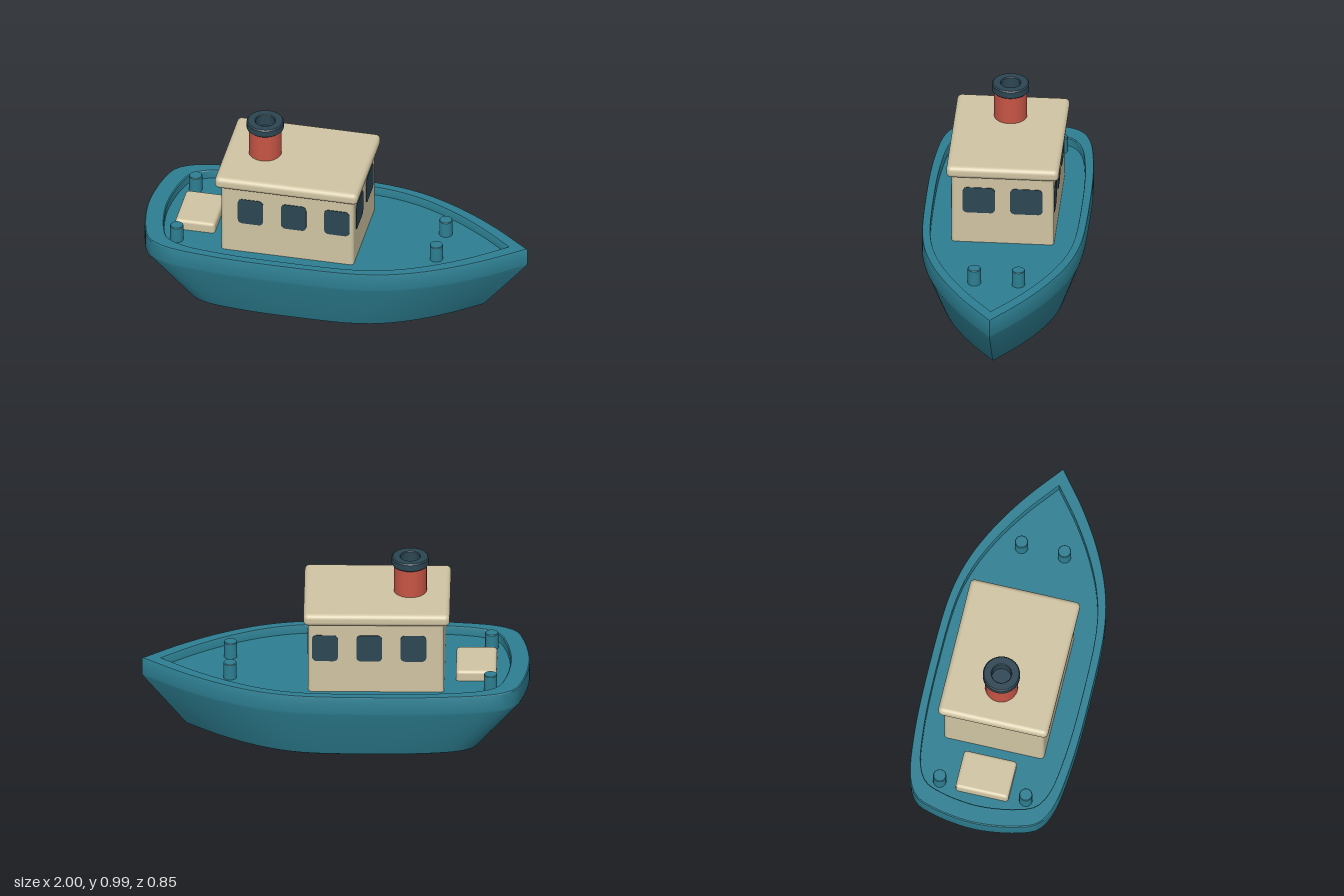
import * as THREE from 'three';
import { toCreasedNormals } from 'three/addons/utils/BufferGeometryUtils.js';
import { RoundedBoxGeometry } from 'three/addons/geometries/RoundedBoxGeometry.js';

const mat = (name, color) => {
  const m = new THREE.MeshStandardMaterial({ color });
  m.name = name;
  return m;
};

// Waterplane outline: bow, round the left side, stern, and back to the bow.
function hullOutline() {
  const half = [[1, 0], [0.8, 0.155], [0.6, 0.278], [0.4, 0.365], [0.2, 0.41], [-0.2, 0.425],
    [-0.6, 0.413], [-0.84, 0.375], [-0.93, 0.32], [-0.97, 0.22], [-0.993, 0.1]];
  const side = half.map(([x, z]) => new THREE.Vector3(x, 0, z));
  const other = side.map(p => new THREE.Vector3(p.x, 0, -p.z)).reverse();
  const curve = new THREE.CatmullRomCurve3([...side, new THREE.Vector3(-1, 0, 0), ...other]);
  return curve.getSpacedPoints(120);
}

// Scaled copies of the outline joined into one closed skin.
function hullGeometry() {
  const outline = hullOutline();
  const profile = [[0, 0], [0.745, 0], [0.768, 0.007], [0.785, 0.026], [0.995, 0.28], [1, 0.292],
    [1, 0.38], [0.995, 0.386], [0.905, 0.386], [0.9, 0.38], [0.9, 0.337], [0, 0.337]];
  const pos = [];
  const put = ([s, y], p) => pos.push(p.x * s, y, p.z * s);
  for (let r = 0; r < profile.length - 1; r++) {
    const lo = profile[r], hi = profile[r + 1];
    for (let i = 0; i < outline.length - 1; i++) {
      const p = outline[i], q = outline[i + 1];
      if (lo[0] > 0) { put(lo, p); put(hi, q); put(lo, q); }
      if (hi[0] > 0) { put(lo, p); put(hi, p); put(hi, q); }
    }
  }
  const g = new THREE.BufferGeometry();
  g.setAttribute('position', new THREE.Float32BufferAttribute(pos, 3));
  return toCreasedNormals(g, 0.5);
}

// Thin rounded pane facing +z.
function paneGeometry(w, h, r) {
  const x = w / 2, y = h / 2;
  const s = new THREE.Shape();
  s.moveTo(-x + r, -y);
  s.lineTo(x - r, -y);
  s.absarc(x - r, -y + r, r, -Math.PI / 2, 0);
  s.absarc(x - r, y - r, r, 0, Math.PI / 2);
  s.absarc(-x + r, y - r, r, Math.PI / 2, Math.PI);
  s.absarc(-x + r, -y + r, r, Math.PI, Math.PI * 1.5);
  return new THREE.ExtrudeGeometry(s, { depth: 0.006, bevelEnabled: false, curveSegments: 6 });
}

const lathe = pts => toCreasedNormals(
  new THREE.LatheGeometry(pts.map(([r, y]) => new THREE.Vector2(r, y)), 40), 0.6);

export function createModel() {
  const boat = new THREE.Group();
  boat.name = 'tugboat';
  const teal = mat('teal hull paint', 0x2d7f92);
  const cream = mat('cream paint', 0xd0c4a3);
  const red = mat('red funnel paint', 0xc65545);
  const dark = mat('dark slate', 0x2c4653);

  const add = (name, geometry, material, x, y, z, parent = boat) => {
    const m = new THREE.Mesh(geometry, material);
    m.name = name;
    m.position.set(x, y, z);
    parent.add(m);
    return m;
  };

  add('hull', hullGeometry(), teal, 0, 0, 0);

  // Cabin, roof and stern hatch
  add('cabin', new RoundedBoxGeometry(0.7, 0.43, 0.53, 4, 0.02), cream, -0.21, 0.535, 0);
  add('roof', new RoundedBoxGeometry(0.755, 0.066, 0.582, 5, 0.026), cream, -0.2125, 0.759, 0);
  add('sternHatch', new RoundedBoxGeometry(0.21, 0.08, 0.28, 4, 0.018), cream, -0.725, 0.353, 0);

  // Windows on both sides and the cabin front
  const windows = new THREE.Group();
  windows.name = 'windows';
  boat.add(windows);
  const sidePane = paneGeometry(0.133, 0.15, 0.024);
  const frontPane = paneGeometry(0.168, 0.15, 0.024);
  for (const s of [1, -1]) {
    for (const x of [-0.403, -0.175, 0.053]) {
      const w = add('sideWindow', sidePane, dark, x, 0.59, s * 0.262, windows);
      if (s < 0) w.rotation.y = Math.PI;
    }
    add('frontWindow', frontPane, dark, 0.137, 0.59, s * 0.123, windows).rotation.y = Math.PI / 2;
  }

  // Funnel with a hollow cap
  add('funnel', new THREE.CylinderGeometry(0.085, 0.085, 0.17, 40, 1, true), red, -0.383, 0.865, 0);
  add('funnelCap', lathe([[0.05, 0], [0.09, 0], [0.096, 0.006], [0.096, 0.039], [0.09, 0.045],
    [0.054, 0.045], [0.05, 0.041], [0.05, -0.02], [0, -0.02]]), dark, -0.383, 0.945, 0);

  // Mooring bollards
  const bollard = lathe([[0.034, 0], [0.034, 0.087], [0.031, 0.091], [0, 0.091]]);
  for (const [x, z] of [[-0.8, 0.228], [0.545, 0.114]]) {
    for (const s of [1, -1]) add('bollard', bollard, teal, x, 0.335, s * z);
  }
  return boat;
}
